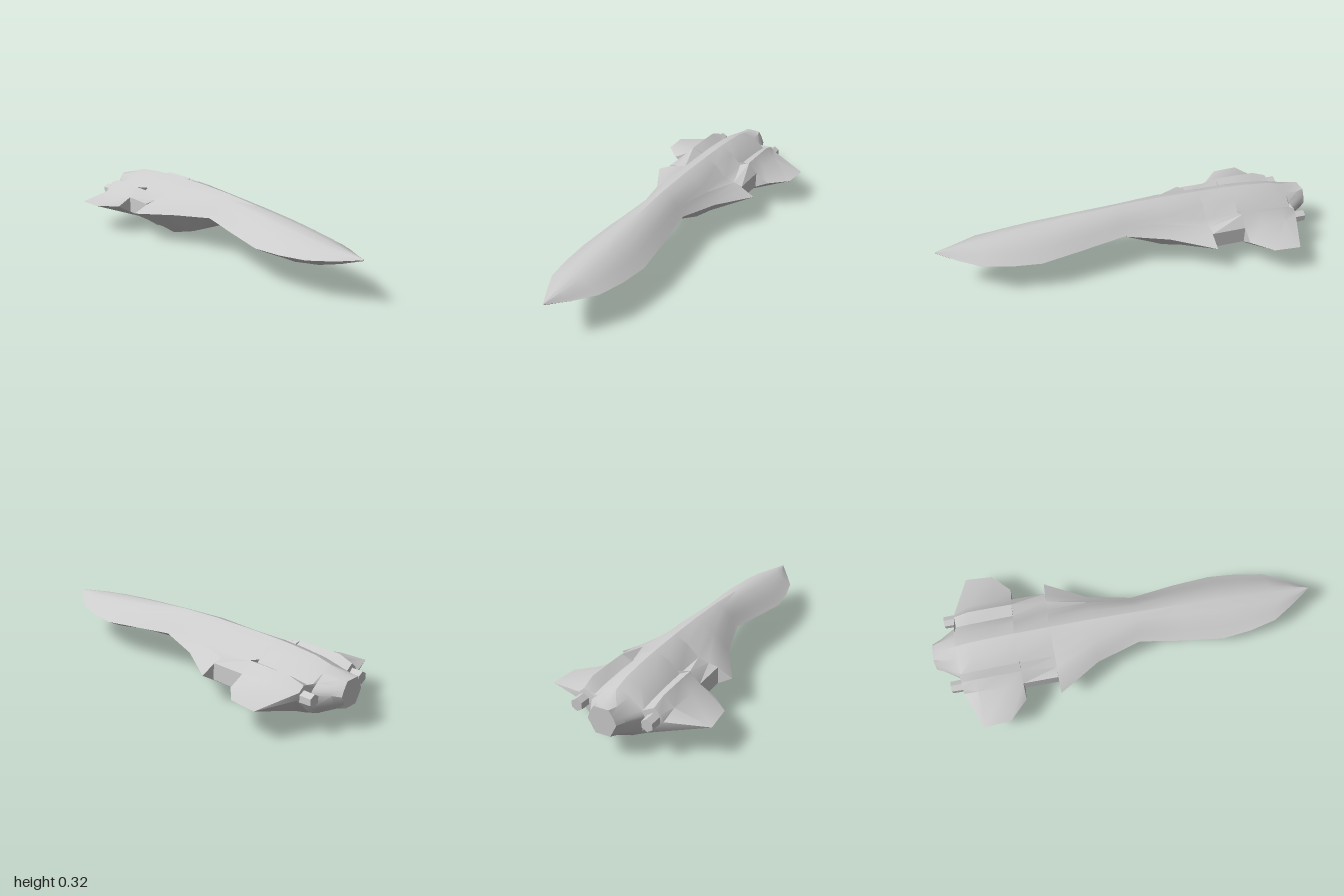
import * as THREE from 'three';
import { toCreasedNormals } from 'three/addons/utils/BufferGeometryUtils.js';

const material = new THREE.MeshStandardMaterial({ color: 0xcccccc });

// Joins mirrored half sections {z, half: [[x, y], ...]} (crest to keel), front to back, with end caps.
function loft(name, sections) {
  const pos = [], idx = [];
  const n = (sections[0].half.length - 1) * 2;
  for (const { z, half } of sections) {
    const mirrored = half.slice(1, -1).reverse().map(([x, y]) => [-x, y]);
    for (const [x, y] of [...half, ...mirrored]) pos.push(x, y, z);
  }
  for (let i = 0; i < sections.length - 1; i++) {
    for (let j = 0; j < n; j++) {
      const a = i * n + j, b = i * n + (j + 1) % n;
      idx.push(a, b, a + n, b, b + n, a + n);
    }
  }
  const cap = (row, front) => {
    const { z, half } = sections[row];
    const c = pos.length / 3;
    pos.push(0, (half[0][1] + half[half.length - 1][1]) / 2, z);
    for (let j = 0; j < n; j++) {
      const a = row * n + j, b = row * n + (j + 1) % n;
      idx.push(c, ...(front ? [b, a] : [a, b]));
    }
  };
  cap(0, true);
  cap(sections.length - 1, false);
  const geo = new THREE.BufferGeometry();
  geo.setAttribute('position', new THREE.Float32BufferAttribute(pos, 3));
  geo.setIndex(idx);
  const mesh = new THREE.Mesh(toCreasedNormals(geo, 0.6), material);
  mesh.name = name;
  return mesh;
}

// Rounded back, sharp side edge and flat keel from a few measures.
function neckSection([z, w, top, edge, bottom]) {
  const fx = [0, 0.3, 0.55, 0.7, 0.85, 1];
  const fy = [1, 0.87, 0.6, 0.41, 0.19, 0];
  const half = fx.map((f, i) => [f * w, edge + (top - edge) * fy[i]]);
  half.push([w * 0.66, edge + (bottom - edge) * 0.6], [w * 0.4, bottom], [0, bottom]);
  return { z, half };
}

const section = (z, top, pts, bottom) => ({ z, half: [[0, top], ...pts, [0, bottom]] });

export function createModel() {
  const group = new THREE.Group();
  group.name = 'spacecraft';

  // Nose, neck and the flared shoulders: z, half width, crest, edge, keel
  const neck = [
    [1, 0.003, 0.221, 0.218, 0.214],
    [0.9, 0.07, 0.234, 0.198, 0.178],
    [0.79, 0.135, 0.248, 0.185, 0.147],
    [0.65, 0.165, 0.266, 0.175, 0.124],
    [0.5, 0.18, 0.281, 0.17, 0.119],
    [0.3, 0.16, 0.297, 0.187, 0.152],
    [0.06, 0.125, 0.314, 0.203, 0.157],
    [-0.17, 0.185, 0.32, 0.176, 0.066],
  ].map(neckSection);
  const shoulder = section(-0.387, 0.318, [[0.07, 0.285], [0.13, 0.226], [0.185, 0.211],
    [0.235, 0.195], [0.31, 0.157], [0.12, 0.045], [0.055, 0.002]], 0.002);
  group.add(loft('foreHull', [...neck, shoulder]));

  // Narrow waist between shoulders and wings
  const waist = (z, top, ridge) => section(z, top, [[0.07, 0.285], [0.13, 0.226], [0.185, ridge],
    [0.235, 0.2], [0.235, 0.115], [0.12, 0.115], [0.055, 0.115]], 0.115);
  group.add(loft('waist', [waist(-0.387, 0.318, 0.211), waist(-0.568, 0.313, 0.253)]));

  // Rear hull with ridges and wings, tapering to the engine outlet
  group.add(loft('aftHull', [
    section(-0.568, 0.313, [[0.07, 0.285], [0.13, 0.226], [0.185, 0.253],
      [0.235, 0.2], [0.31, 0.157], [0.12, 0.045], [0.055, 0]], 0),
    section(-0.66, 0.308, [[0.07, 0.28], [0.13, 0.224], [0.185, 0.253],
      [0.24, 0.2], [0.405, 0.157], [0.13, 0.05], [0.055, 0.01]], 0.01),
    section(-0.8, 0.294, [[0.07, 0.265], [0.13, 0.215], [0.185, 0.25],
      [0.235, 0.2], [0.415, 0.155], [0.14, 0.065], [0.06, 0.03]], 0.03),
    section(-0.875, 0.275, [[0.065, 0.25], [0.13, 0.205], [0.18, 0.225],
      [0.21, 0.2], [0.225, 0.168], [0.14, 0.09], [0.06, 0.052]], 0.052),
    section(-0.885, 0.272, [[0.06, 0.25], [0.1, 0.215], [0.12, 0.2],
      [0.135, 0.185], [0.14, 0.168], [0.12, 0.1], [0.06, 0.06]], 0.06),
    section(-0.96, 0.251, [[0.05, 0.24], [0.07, 0.215], [0.08, 0.2],
      [0.085, 0.19], [0.09, 0.175], [0.07, 0.125], [0.045, 0.1]], 0.1),
    section(-1, 0.242, [[0.038, 0.242], [0.052, 0.22], [0.06, 0.205],
      [0.066, 0.192], [0.072, 0.176], [0.055, 0.143], [0.037, 0.112]], 0.112),
  ]));

  // Small hexagonal thrusters behind the ridges
  for (const side of [1, -1]) {
    const geo = new THREE.CylinderGeometry(0.031, 0.035, 0.16, 6).rotateX(-Math.PI / 2);
    const thruster = new THREE.Mesh(toCreasedNormals(geo, 0.6), material);
    thruster.name = side > 0 ? 'leftThruster' : 'rightThruster';
    thruster.position.set(side * 0.18, 0.172, -0.855);
    group.add(thruster);
  }
  return group;
}
